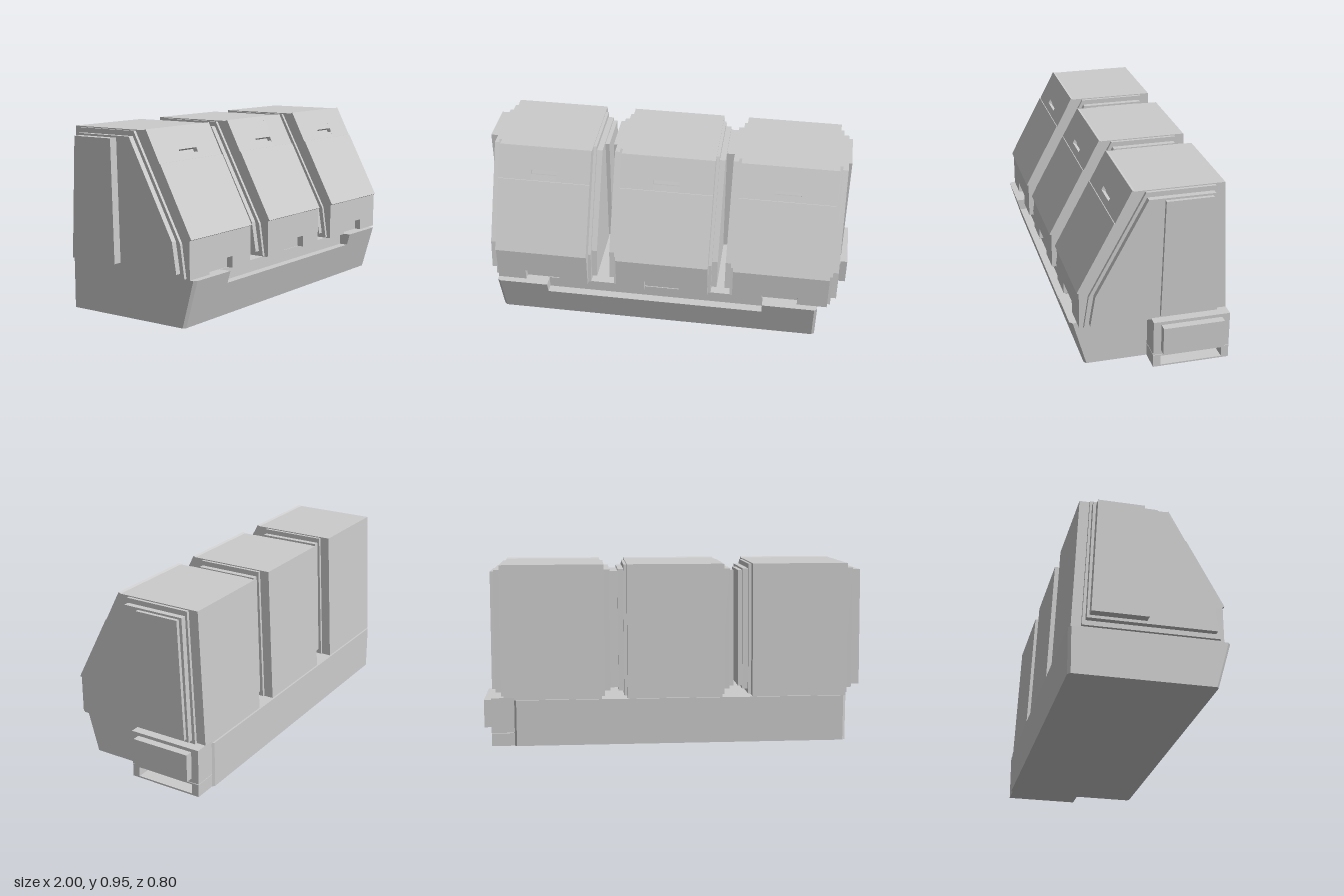
import * as THREE from 'three';

const material = new THREE.MeshStandardMaterial({ color: 0xcccccc, flatShading: true });

// Extrudes a [z, y] side profile along x from x0 to x1
function slab(name, profile, x0, x1, holes = []) {
  const toVec = ([z, y]) => new THREE.Vector2(-z, y);
  const shape = new THREE.Shape(profile.map(toVec));
  for (const hole of holes) shape.holes.push(new THREE.Path(hole.map(toVec)));
  const geometry = new THREE.ExtrudeGeometry(shape, { depth: x1 - x0, bevelEnabled: false });
  geometry.rotateY(Math.PI / 2).translate(x0, 0, 0);
  const mesh = new THREE.Mesh(geometry, material);
  mesh.name = name;
  return mesh;
}

const rect = (z0, z1, y0, y1) => [[z0, y0], [z1, y0], [z1, y1], [z0, y1]];

// Side panels stacked outward from each pod
const outerStep = [[0.345, 0.25], [0.32, 0.42], [0.04, 0.94], [-0.305, 0.94], [-0.34, 0.25]];
const innerStep = [[0.32, 0.275], [0.295, 0.43], [0.035, 0.915], [-0.295, 0.915], [-0.323, 0.275]];
const doorPanel = [[-0.03, 0.29], [-0.045, 0.905], [-0.28, 0.905], [-0.31, 0.29]];

// Pod cross-section, optionally with the foot notch and the handle slot
function podProfile(notch, slot) {
  return [
    ...(notch ? [[0.33, 0.245], [0.33, 0.305], [0.365, 0.305]] : [[0.365, 0.245]]),
    [0.365, 0.435], [0.375, 0.44], [0.19, 0.79], [0.186, 0.79],
    ...(slot ? [[0.17, 0.82], [0.15, 0.81], [0.139, 0.83], [0.16, 0.84]] : []),
    [0.103, 0.95], [0.09, 0.945], [-0.355, 0.945], [-0.39, 0.245],
  ];
}

function createPod(x, halfWidth, leftDoor, rightDoor) {
  const pod = new THREE.Group();
  pod.name = 'pod';
  pod.position.x = x;
  const slotHalf = 0.07, notchHalf = 0.095;
  pod.add(slab('podShellCentre', podProfile(true, true), -slotHalf, slotHalf));
  for (const side of [-1, 1]) {
    const add = (name, profile, a, b) =>
      pod.add(slab(name, profile, Math.min(a * side, b * side), Math.max(a * side, b * side)));
    const door = side < 0 ? leftDoor : rightDoor;
    add('podShellNotch', podProfile(true, false), slotHalf, notchHalf);
    add('podShellSide', podProfile(false, false), notchHalf, halfWidth);
    add('sideStepOuter', outerStep, halfWidth - 0.02, halfWidth + 0.016);
    add('sideStepInner', innerStep, halfWidth, halfWidth + 0.046);
    add('sideDoor', doorPanel, halfWidth + 0.02, halfWidth + door);
  }
  return pod;
}

function createBase() {
  const base = new THREE.Group();
  base.name = 'base';
  const full = [[0.33, 0.003], [0.4, 0.245], [-0.4, 0.245], [-0.4, 0.003]];
  const stepped = [[0.33, 0.003], [0.382, 0.183], [0.335, 0.183], [0.335, 0.245], [-0.4, 0.245], [-0.4, 0.003]];
  base.add(slab('baseRightBlock', full, -0.895, -0.63));
  base.add(slab('baseMiddle', stepped, -0.63, 0.55));
  base.add(slab('baseLeftBlock', full, 0.55, 0.83));
  // End slices taper to give chamfered vertical corners
  for (const [x0, x1, outer] of [[-0.91, -0.895, -0.91], [0.83, 0.845, 0.845]]) {
    const cap = slab('baseEndChamfer', full, x0, x1);
    const p = cap.geometry.attributes.position;
    for (let i = 0; i < p.count; i++) {
      if (Math.abs(p.getX(i) - outer) < 0.001) p.setZ(i, p.getZ(i) * 0.965);
    }
    cap.geometry.computeVertexNormals();
    base.add(cap);
  }
  return base;
}

// Side unit: upper drawer over an open-sided tray
function createSideUnit() {
  const unit = new THREE.Group();
  unit.name = 'sideUnit';
  unit.add(slab('drawerHousing', rect(0.005, -0.39, 0.073, 0.257), 0.84, 0.96));
  unit.add(slab('drawerFront', rect(-0.035, -0.35, 0.095, 0.24), 0.95, 1.0));
  unit.add(slab('trayFrame', rect(0.005, -0.39, 0.003, 0.07), 0.84, 0.96, [rect(-0.033, -0.352, 0.011, 0.062)]));
  unit.add(slab('trayBack', rect(-0.03, -0.36, 0.008, 0.066), 0.84, 0.86));
  return unit;
}

export function createModel() {
  const model = new THREE.Group();
  model.name = 'triplePodUnit';
  model.add(createBase(), createSideUnit());
  model.add(createPod(-0.66, 0.25, 0.09, 0.068));
  model.add(createPod(0, 0.25, 0.068, 0.068));
  model.add(createPod(0.64, 0.255, 0.068, 0.065));
  return model;
}
